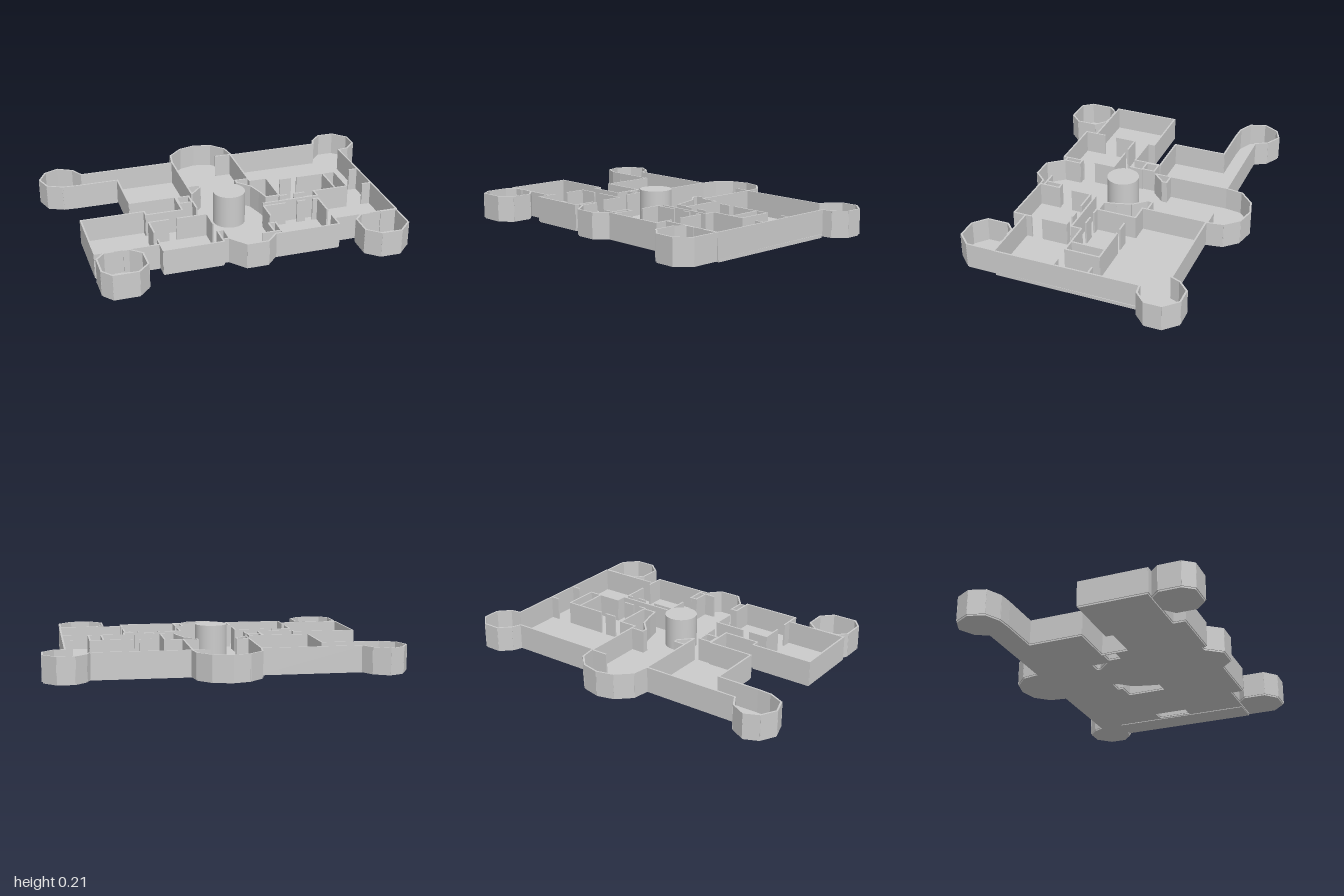
import * as THREE from 'three';

const material = new THREE.MeshStandardMaterial({ color: 0xcccccc, flatShading: true, side: THREE.DoubleSide });
const FLOOR_BOTTOM = 0.004, FLOOR_TOP = 0.02, WALL_BOTTOM = 0.012, WALL_TOP = 0.155, THICK = 0.01;

// Plan shapes are lists of [x, z] points.
const toVectors = (points) => points.map(([x, z]) => new THREE.Vector2(x, z));

function slab(name, outline, holes = [], bottom = FLOOR_BOTTOM) {
  const shape = new THREE.Shape(toVectors(outline));
  for (const hole of holes) shape.holes.push(new THREE.Path(toVectors(hole)));
  const geometry = new THREE.ExtrudeGeometry(shape, { depth: FLOOR_TOP - bottom, bevelEnabled: false });
  geometry.rotateX(Math.PI / 2).translate(0, FLOOR_TOP, 0);
  const mesh = new THREE.Mesh(geometry, material);
  mesh.name = name;
  return mesh;
}

// One thin upright box for every step along a path
function wall(name, points, closed = false) {
  const group = new THREE.Group();
  group.name = name;
  const path = closed ? [...points, points[0]] : points;
  for (let i = 0; i < path.length - 1; i++) {
    const [x1, z1] = path[i], [x2, z2] = path[i + 1];
    const length = Math.hypot(x2 - x1, z2 - z1);
    const mesh = new THREE.Mesh(new THREE.BoxGeometry(length + THICK * 0.6, WALL_TOP - WALL_BOTTOM, THICK), material);
    mesh.position.set((x1 + x2) / 2, (WALL_TOP + WALL_BOTTOM) / 2, (z1 + z2) / 2);
    mesh.rotation.y = -Math.atan2(z2 - z1, x2 - x1);
    mesh.name = 'wallPanel';
    group.add(mesh);
  }
  return group;
}

export function createModel() {
  const model = new THREE.Group();
  model.name = 'castleFloorPlan';

  // Perimeter, clockwise from the back left tower of the plan
  const backRightTower = [[-0.8, -0.365], [-0.88, -0.37], [-0.965, -0.41], [-0.995, -0.5],
    [-0.95, -0.585], [-0.87, -0.62], [-0.785, -0.575], [-0.745, -0.503]];
  const backApse = [[-0.18, -0.503], [-0.165, -0.6], [-0.085, -0.675], [0.01, -0.7],
    [0.115, -0.675], [0.185, -0.6], [0.2, -0.503]];
  const backLeftTower = [[0.745, -0.503], [0.765, -0.555], [0.825, -0.613], [0.92, -0.613],
    [0.992, -0.54], [0.992, -0.445], [0.93, -0.383], [0.87, -0.375]];
  const frontApse = [[0.17, 0.525], [0.13, 0.525], [0.067, 0.592], [-0.055, 0.592],
    [-0.13, 0.5], [-0.165, 0.5], [-0.165, 0.525]];
  const perimeter = [
    ...backRightTower, ...backApse, ...backLeftTower,
    [0.873, 0.11], [0.875, 0.455], [0.5, 0.455], [0.5, 0.525], ...frontApse,
    [-0.5, 0.525], [-0.5, 0.455], [-0.857, 0.455], [-0.857, 0.068], [-0.495, 0.068], [-0.495, 0.11],
    [-0.285, 0.11], [-0.285, -0.05], [-0.553, -0.05], [-0.553, -0.365],
  ];

  // Courtyards left open in the floor
  const courtyards = [
    [[0.645, -0.088], [0.72, -0.088], [0.72, 0.11], [0.645, 0.11]],
    [[0.115, -0.155], [0.195, -0.155], [0.195, -0.125], [0.3, -0.125], [0.3, 0.1],
      [0.22, 0.1], [0.205, 0.03], [0.18, -0.055], [0.115, -0.125]],
    [[-0.18, -0.155], [-0.112, -0.155], [-0.112, -0.13], [-0.18, -0.06]],
    [[-0.278, -0.042], [-0.205, -0.042], [-0.205, 0.032], [-0.278, 0.032]],
  ];
  model.add(slab('mainFloor', perimeter, courtyards));
  model.add(wall('outerWall', perimeter, true));
  courtyards.forEach((yard) => model.add(wall('courtyardWall', yard, true)));

  // Shallow plinth under the left wing
  model.add(slab('leftPlinth', [[0.73, -0.36], [0.88, -0.36], [0.88, 0.45], [0.73, 0.45]], [], 0));

  // Front corner towers, each with a doorway towards the wings
  const frontTowers = [
    [[-0.76, 0.46], [-0.81, 0.46], [-0.857, 0.51], [-0.857, 0.635], [-0.81, 0.693],
      [-0.67, 0.693], [-0.608, 0.63], [-0.608, 0.515], [-0.67, 0.46], [-0.7, 0.46]],
    [[0.71, 0.46], [0.66, 0.46], [0.613, 0.505], [0.613, 0.63], [0.685, 0.693],
      [0.8, 0.693], [0.872, 0.62], [0.872, 0.46], [0.78, 0.46]],
  ];
  for (const tower of frontTowers) {
    model.add(slab('frontTowerFloor', tower));
    model.add(wall('frontTowerWall', tower));
  }

  // Inner walls, broken by doorways
  const partitions = [
    // great room at the back
    [[-0.18, -0.503], [-0.18, -0.155]], [[0.195, -0.503], [0.195, -0.125]], [[0.1, -0.51], [0.19, -0.51]],
    // left wing
    [[0.375, -0.088], [0.44, -0.088]], [[0.48, -0.088], [0.645, -0.088]], [[0.82, -0.088], [0.87, -0.088]],
    [[0.3, 0.11], [0.34, 0.11]], [[0.39, 0.11], [0.45, 0.11]], [[0.82, 0.11], [0.87, 0.11]],
    [[0.645, 0.11], [0.51, 0.11], [0.51, 0.17], [0.18, 0.17]],
    // front left room
    [[0.17, 0.32], [0.17, 0.205], [0.3, 0.205]], [[0.375, 0.205], [0.42, 0.205]],
    [[0.47, 0.205], [0.5, 0.205], [0.5, 0.35]], [[0.5, 0.42], [0.5, 0.455]], [[0.17, 0.4], [0.17, 0.525]],
    // front right room
    [[-0.5, 0.32], [-0.5, 0.2], [-0.39, 0.2]], [[-0.34, 0.2], [-0.165, 0.2], [-0.165, 0.32]],
    [[-0.5, 0.4], [-0.5, 0.455]], [[-0.165, 0.4], [-0.165, 0.5]],
    // gatehouse
    [[-0.165, 0.405], [-0.128, 0.405], [-0.128, 0.5]], [[0.17, 0.405], [0.13, 0.405], [0.13, 0.5]],
    [[0.065, 0.5], [0.17, 0.5]],
    // passage beside the hall
    [[-0.2, 0.03], [-0.2, 0.11]],
  ];
  partitions.forEach((points) => model.add(wall('innerWall', points)));

  // Round keep in the middle of the hall
  const keep = new THREE.Mesh(
    new THREE.CylinderGeometry(0.092, 0.092, 0.2, 40),
    new THREE.MeshStandardMaterial({ color: 0xcccccc }),
  );
  keep.position.set(0.005, 0.112, 0.07);
  keep.name = 'keep';
  model.add(keep);

  return model;
}
